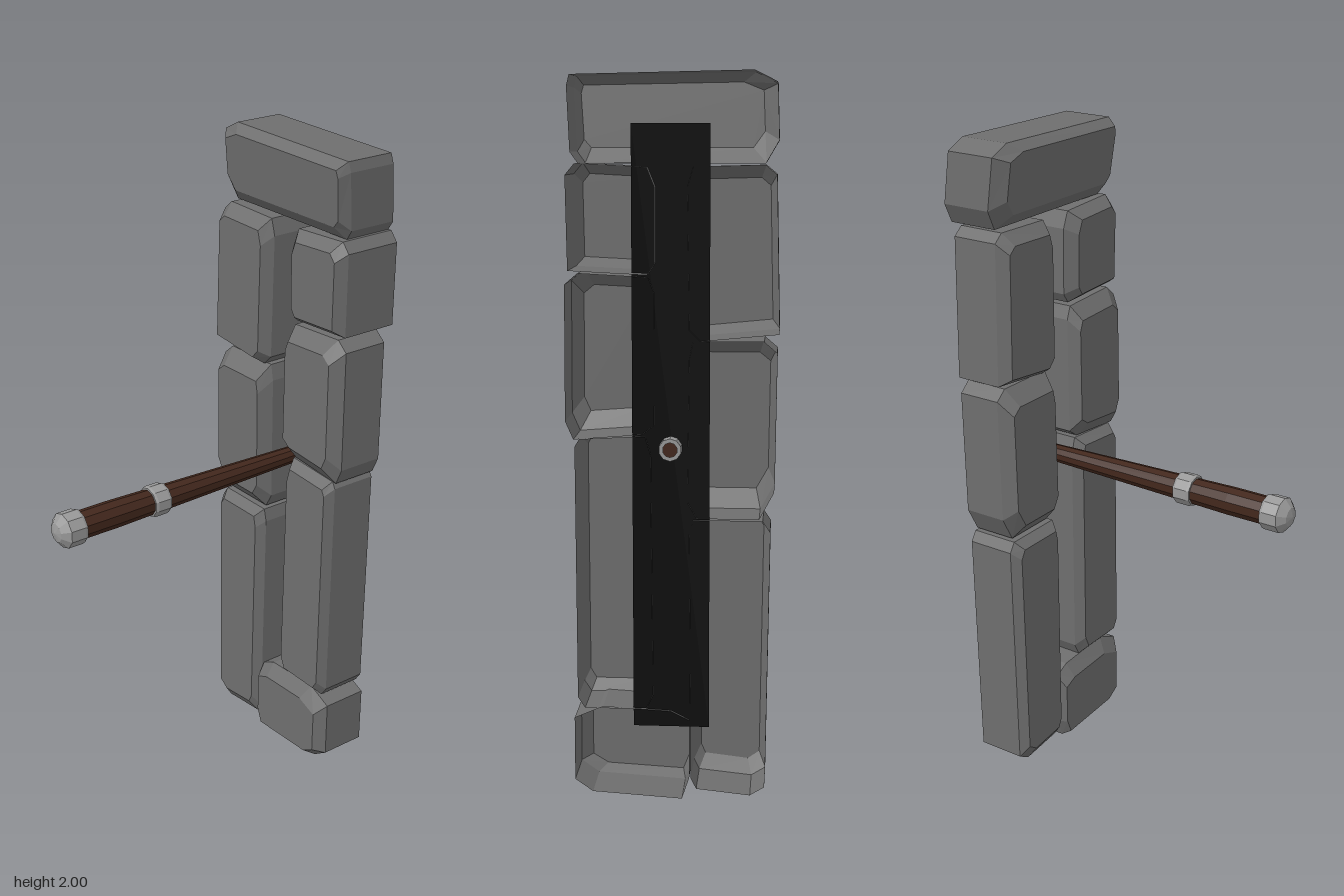
import * as THREE from 'three';

const mat = (name, color, side = THREE.FrontSide) => {
  const m = new THREE.MeshStandardMaterial({ color, flatShading: true, side });
  m.name = name;
  return m;
};

// Hollow, open-backed block: outline runs clockwise seen from the front.
// inset = bevel widths [left, right, top, bottom]; z = [back, shoulder, front].
function stoneGeometry(outline, inset, z, lean = 0) {
  const xs = outline.map(p => p[0]), ys = outline.map(p => p[1]);
  const x0 = Math.min(...xs), x1 = Math.max(...xs);
  const y0 = Math.min(...ys), y1 = Math.max(...ys);
  const [l, r, t, b] = inset;
  const point = (x, y, d) => [x, y, d + lean * (y - (y0 + y1) / 2)];
  const rings = [
    outline.map(([x, y]) => point(x, y, z[0])),
    outline.map(([x, y]) => point(x, y, z[1])),
    outline.map(([x, y]) => point(
      THREE.MathUtils.mapLinear(x, x0, x1, x0 + l, x1 - r),
      THREE.MathUtils.mapLinear(y, y0, y1, y0 + b, y1 - t), z[2])),
  ];
  const n = outline.length, pos = [];
  for (let k = 0; k < 2; k++) {
    for (let i = 0; i < n; i++) {
      const j = (i + 1) % n;
      const a = rings[k][i], e = rings[k][j], c = rings[k + 1][j], d = rings[k + 1][i];
      pos.push(...a, ...d, ...c, ...a, ...c, ...e);
    }
  }
  for (let i = 1; i < n - 1; i++) pos.push(...rings[2][0], ...rings[2][i + 1], ...rings[2][i]);
  const g = new THREE.BufferGeometry();
  g.setAttribute('position', new THREE.Float32BufferAttribute(pos, 3));
  g.computeVertexNormals();
  return g;
}

export function createModel() {
  const model = new THREE.Group();
  model.name = 'wallLever';
  const stone = mat('stone grey', 0x6e6e6e, THREE.DoubleSide);
  const dark = mat('slot black', 0x0b0b0b, THREE.DoubleSide);
  const wood = mat('dark wood', 0x42271c);
  const metal = mat('pale metal', 0x999999, THREE.DoubleSide);

  const add = (parent, name, geometry, material) => {
    const m = new THREE.Mesh(geometry, material);
    m.name = name;
    parent.add(m);
    return m;
  };

  // Stone frame
  const frame = new THREE.Group();
  frame.name = 'stoneFrame';
  model.add(frame);
  const block = (name, outline, inset, z, lean) =>
    add(frame, name, stoneGeometry(outline, inset, z, lean), stone);

  block('lintelStone',
    [[-0.28, 1.97], [-0.22, 2.0], [0.265, 1.99], [0.272, 1.96], [0.262, 1.79], [0.24, 1.76], [-0.25, 1.76], [-0.285, 1.82]],
    [0.04, 0.015, 0.025, 0.04], [-0.48, -0.325, -0.29], 0.12);
  block('upperRightStone',
    [[-0.28, 1.73], [-0.25, 1.755], [-0.06, 1.75], [-0.045, 1.70], [-0.05, 1.32], [-0.08, 1.29], [-0.29, 1.31]],
    [0.02, 0.02, 0.035, 0.025], [-0.46, -0.315, -0.278]);
  block('middleRightStone',
    [[-0.285, 1.26], [-0.25, 1.29], [-0.06, 1.29], [-0.05, 1.24], [-0.045, 0.85], [-0.07, 0.805], [-0.24, 0.805], [-0.28, 0.88]],
    [0.02, 0.02, 0.05, 0.05], [-0.46, -0.325, -0.28]);
  block('lowerRightStone',
    [[-0.25, 0.80], [-0.06, 0.80], [-0.05, 0.76], [-0.055, 0.06], [-0.07, 0.03], [-0.22, 0.015], [-0.26, 0.04], [-0.27, 0.77]],
    [0.02, 0.02, 0.025, 0.04], [-0.46, -0.31, -0.282]);
  block('upperLeftStone',
    [[0.06, 1.75], [0.25, 1.76], [0.275, 1.73], [0.27, 1.48], [0.06, 1.47], [0.04, 1.50], [0.04, 1.70]],
    [0.03, 0.02, 0.03, 0.025], [-0.5, -0.32, -0.285], 0.02);
  block('middleLeftStone',
    [[0.06, 1.46], [0.25, 1.47], [0.285, 1.44], [0.287, 1.07], [0.265, 1.02], [0.08, 1.035], [0.045, 1.06], [0.045, 1.42]],
    [0.015, 0.03, 0.045, 0.05], [-0.46, -0.315, -0.277]);
  block('lowerLeftStone',
    [[0.07, 1.03], [0.25, 1.02], [0.262, 1.0], [0.26, 0.29], [0.24, 0.26], [0.07, 0.26], [0.05, 0.30], [0.055, 0.98]],
    [0.02, 0.015, 0.025, 0.03], [-0.46, -0.315, -0.285]);
  block('baseStone',
    [[-0.05, 0.23], [0.0, 0.255], [0.19, 0.265], [0.27, 0.23], [0.27, 0.05], [0.22, 0.015], [-0.03, 0.0], [-0.05, 0.06]],
    [0.01, 0.03, 0.045, 0.02], [-0.46, -0.315, -0.283]);

  // Dark slot behind the stones
  add(model, 'slotPanel', new THREE.PlaneGeometry(0.21, 1.655), dark).position.set(0, 1.037, -0.452);

  // Lever, turned about the z axis
  const lever = new THREE.Group();
  lever.name = 'lever';
  lever.position.y = 1;
  lever.rotation.x = Math.PI / 2;
  model.add(lever);
  const turned = (name, profile, material) => add(lever, name,
    new THREE.LatheGeometry(profile.map(([r, d]) => new THREE.Vector2(r, d)), 10), material);

  turned('handle', [[0, -0.475], [0.024, -0.475], [0.028, -0.3], [0.042, 0.3], [0.042, 0.425]], wood);
  turned('gripBand', [[0.038, 0.122], [0.045, 0.122], [0.048, 0.13], [0.048, 0.17], [0.045, 0.178], [0.038, 0.178]], metal);
  turned('pommel', [[0.04, 0.417], [0.05, 0.417], [0.053, 0.425], [0.053, 0.473], [0.028, 0.494], [0, 0.5]], metal);
  turned('backCollar', [[0.02, -0.49], [0.031, -0.49], [0.031, -0.44]], metal);

  return model;
}
